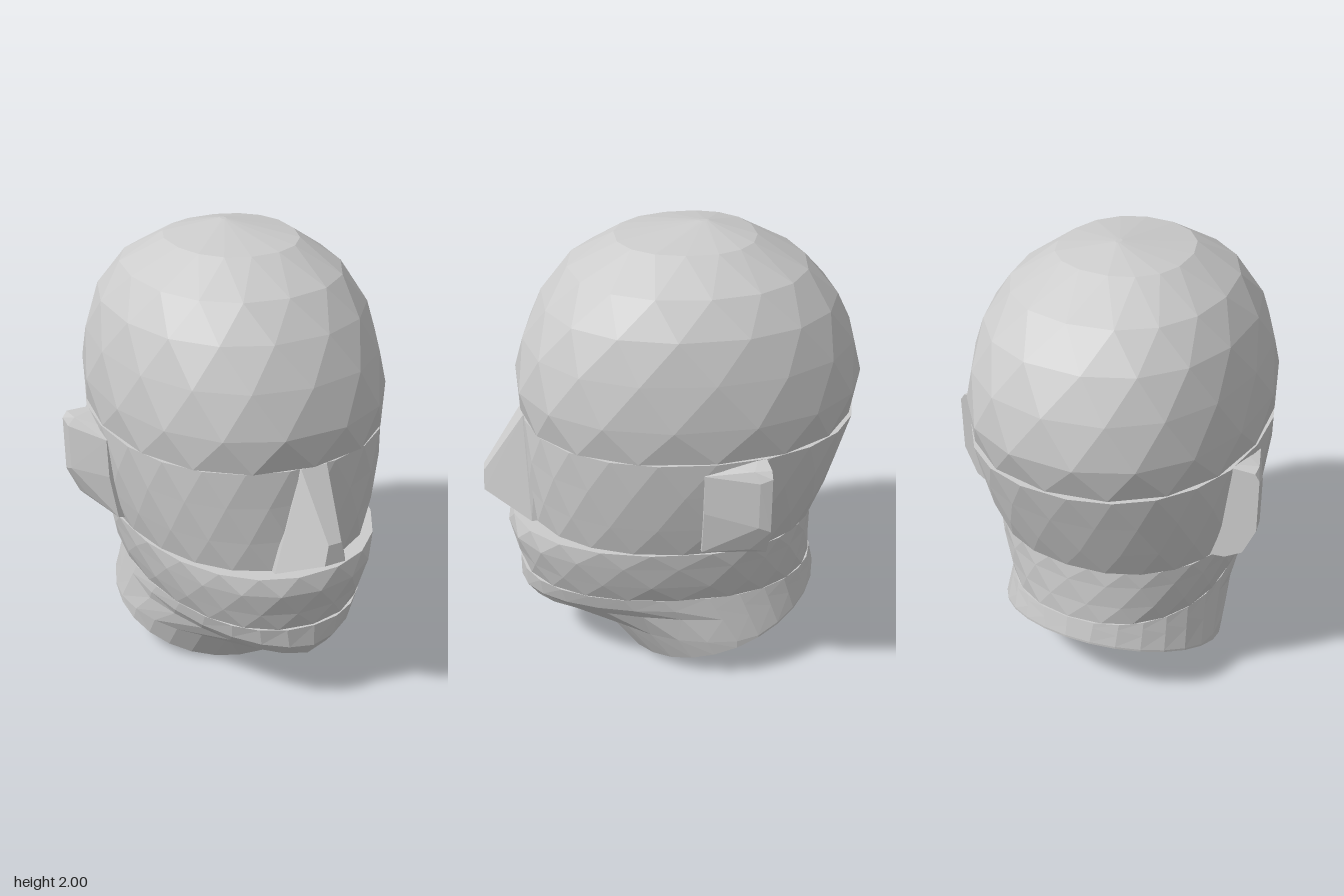
import * as THREE from 'three';
import { ConvexGeometry } from 'three/addons/geometries/ConvexGeometry.js';

const V = (x, y, z) => new THREE.Vector3(x, y, z);
const material = new THREE.MeshStandardMaterial({ color: 0xcccccc, flatShading: true });

function addMesh(parent, name, geometry) {
  const mesh = new THREE.Mesh(geometry, material);
  mesh.name = name;
  parent.add(mesh);
  return mesh;
}

// Rounded head outline point: w = half width, zf / zb = front and back reach
function outline(angle, y, w, zf, zb, zc = -0.1) {
  const s = Math.sin(angle), c = Math.cos(angle), k = 2 / 2.2;
  const reach = c > 0 ? zf - zc : zc - zb;
  return V(w * Math.sign(s) * Math.abs(s) ** k, y, zc + reach * Math.sign(c) * Math.abs(c) ** k);
}

// Skin rows of points from bottom to top and close both ends
function loft(rows) {
  const n = rows[0].length, pos = [], idx = [];
  const centre = row => row.reduce((a, p) => a.add(p), V(0, 0, 0)).divideScalar(n);
  rows.flat().forEach(p => pos.push(p.x, p.y, p.z));
  for (let r = 0; r < rows.length - 1; r++) {
    for (let i = 0; i < n; i++) {
      const j = (i + 1) % n, b = r * n, t = b + n;
      if (r % 2) idx.push(b + i, t + j, t + i, b + i, b + j, t + j);
      else idx.push(b + i, b + j, t + i, t + i, b + j, t + j);
    }
  }
  const low = rows.length * n, high = low + 1, last = low - n;
  [centre(rows[0]), centre(rows[rows.length - 1])].forEach(p => pos.push(p.x, p.y, p.z));
  for (let i = 0; i < n; i++) {
    const j = (i + 1) % n;
    idx.push(low, j, i, high, last + i, last + j);
  }
  const g = new THREE.BufferGeometry();
  g.setAttribute('position', new THREE.Float32BufferAttribute(pos, 3));
  g.setIndex(idx);
  const flat = g.toNonIndexed();
  flat.computeVertexNormals();
  return flat;
}

// Stack of outlines, every other one turned half a step for triangular facets
function band(levels, n) {
  return loft(levels.map((level, r) => Array.from({ length: n },
    (_, i) => outline((i + (r % 2) / 2) * 2 * Math.PI / n, ...level))));
}

// Chin, jaw and neck, cut off by a sloping plane
function jawAndNeck(n = 28) {
  const rows = [[], [], [], [], []];
  for (let i = 0; i < n; i++) {
    const a = i * 2 * Math.PI / n, s = Math.sin(a), c = Math.cos(a);
    const z = -0.23 + 0.45 * c;
    const cut = V(0.51 * s, (0.22 - z) * 0.367, z);
    const throat = V(0.51 * s, Math.max(0.2, cut.y + 0.01), c > 0 ? -0.23 + 0.6 * c : z);
    const top = outline(a, 0.43, 0.485, 0.69, -0.66);
    let edge = throat.clone().lerp(top, 0.5), chin = throat.clone().lerp(top, 0.75);
    if (c > 0) {
      const corner = Math.abs(Math.sin(2 * a));
      edge = V(0.497 * s * (1 - 0.06 * corner), 0.315 - 0.06 * c + 0.04 * corner, -0.165 + 0.805 * c);
      chin = V(0.491 * s, 0.372 - 0.045 * c + 0.02 * corner, -0.133 + 0.823 * c);
    }
    [cut, throat, edge, chin, top].forEach((p, r) => rows[r].push(p));
  }
  return loft(rows);
}

export function createModel() {
  const head = new THREE.Group();
  head.name = 'head';

  addMesh(head, 'jawAndNeck', jawAndNeck());

  addMesh(head, 'mouthBand', band([
    [0.43, 0.485, 0.68, -0.655],
    [0.52, 0.52, 0.705, -0.65],
    [0.63, 0.545, 0.735, -0.645],
    [0.71, 0.557, 0.72, -0.64],
  ], 22));

  addMesh(head, 'eyeBand', band([
    [0.71, 0.55, 0.64, -0.65],
    [0.85, 0.585, 0.65, -0.71],
    [1.02, 0.61, 0.655, -0.77],
    [1.18, 0.622, 0.65, -0.817],
  ], 22));

  // Skull cap, ending in a small crown point
  addMesh(head, 'cranium', band([
    [1.18, 0.615, 0.655, -0.8],
    [1.33, 0.625, 0.675, -0.84],
    [1.52, 0.6, 0.63, -0.805],
    [1.69, 0.55, 0.545, -0.72],
    [1.83, 0.455, 0.43, -0.59],
    [1.95, 0.28, 0.23, -0.37],
    [2.0, 0.012, -0.13, -0.17, -0.15],
  ], 16));

  // Wedge nose with a narrow ridge
  const nose = [];
  for (const m of [-1, 1]) {
    nose.push(
      V(m * 0.06, 1.18, 0.65), V(m * 0.075, 1.18, 0.58),
      V(m * 0.03, 0.91, 0.83), V(m * 0.048, 0.82, 0.835),
      V(m * 0.17, 0.71, 0.64), V(m * 0.17, 0.71, 0.55));
  }
  addMesh(head, 'nose', new ConvexGeometry(nose));

  // Ears, flat behind and tapering forward
  for (const m of [-1, 1]) {
    const ear = [
      [0.5, 1.18, -0.31], [0.7, 1.18, -0.31], [0.72, 1.15, -0.31],
      [0.718, 0.9, -0.31], [0.66, 0.77, -0.31], [0.58, 0.72, -0.31], [0.5, 0.71, -0.31],
      [0.69, 1.175, -0.24], [0.715, 1.13, -0.26], [0.712, 0.92, -0.26], [0.65, 0.78, -0.24],
      [0.62, 1.13, -0.05], [0.615, 0.95, -0.05], [0.58, 0.74, -0.05], [0.5, 1.13, -0.05],
      [0.5, 0.72, -0.05],
    ].map(([x, y, z]) => V(m * x, y, z));
    addMesh(head, m > 0 ? 'leftEar' : 'rightEar', new ConvexGeometry(ear));
  }
  return head;
}
